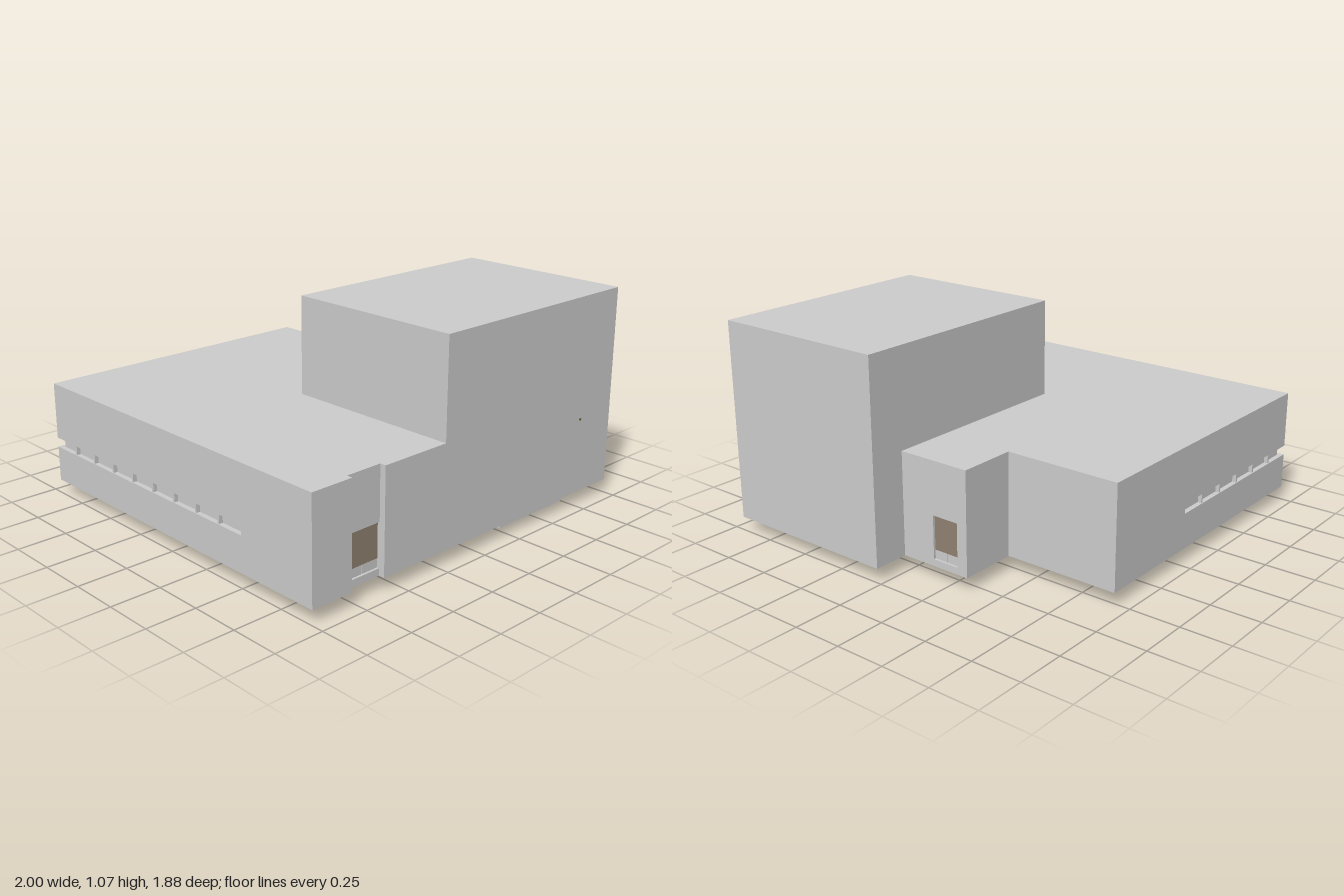
import * as THREE from 'three';

const grey = new THREE.MeshStandardMaterial({ color: 0xcccccc });
const doorBrown = new THREE.MeshStandardMaterial({ color: 0x8f8170 });
const knobOlive = new THREE.MeshStandardMaterial({ color: 0x6b6030 });

const Z = 0.94;          // half depth of the building
const BASE = 0.07;       // underside of the floor
const ROOF = 0.58;       // lower roof
const DOOR = 0.015;      // depth of the doorways
const SLOT = 0.025;      // depth of the ribbon window

// Solid of constant plan between two heights; plan points are [x, z]
function slab(name, plan, y0, y1) {
  const shape = new THREE.Shape(plan.map(([x, z]) => new THREE.Vector2(x, -z)));
  const geo = new THREE.ExtrudeGeometry(shape, { depth: y1 - y0, bevelEnabled: false });
  geo.rotateX(-Math.PI / 2).translate(0, y0, 0);
  const mesh = new THREE.Mesh(geo, grey);
  mesh.name = name;
  return mesh;
}

// Box given by its limits on each axis
function block(name, [x0, x1], [y0, y1], [z0, z1], material = grey) {
  const mesh = new THREE.Mesh(new THREE.BoxGeometry(x1 - x0, y1 - y0, z1 - z0), material);
  mesh.position.set((x0 + x1) / 2, (y0 + y1) / 2, (z0 + z1) / 2);
  mesh.name = name;
  return mesh;
}

// Building outline, optionally cut by the doorways and the corner ribbon window
function outline(doors, ribbon) {
  const front = 0.91 - (doors ? DOOR : 0);
  const plan = [[1, Z], [1, 0.02], [0.82, 0.02]];
  if (doors) plan.push([0.82, -0.16], [0.82 - DOOR, -0.16], [0.82 - DOOR, -0.3], [0.82, -0.3]);
  plan.push([0.82, -0.355], [0.53, -0.355], [0.53, -Z]);
  if (ribbon) {
    plan.push([-0.03, -Z], [-0.03, -Z + SLOT], [-1 + SLOT, -Z + SLOT], [-1 + SLOT, 0.5], [-1, 0.5]);
  } else {
    plan.push([-1, -Z]);
  }
  plan.push([-1, Z], [-0.78, Z], [-0.78, front], [-0.59, front], [-0.59, Z]);
  return plan;
}

export function createModel() {
  const model = new THREE.Group();
  model.name = 'building';

  // Lower storey, layered so that openings are cut at the right heights
  const layers = [
    [BASE, 0.105, false, false],
    [0.105, 0.248, true, false],
    [0.248, 0.296, true, true],
    [0.296, 0.318, true, false],
    [0.318, ROOF, false, false],
  ];
  for (const [y0, y1, doors, ribbon] of layers) {
    model.add(slab('lowerStorey', outline(doors, ribbon), y0, y1));
  }

  // Upper storey
  model.add(block('upperStorey', [-0.22, 1], [ROOF, 1.065], [0.02, Z]));

  // Mullions of the ribbon window, along the side and the back
  const ribbon = new THREE.Group();
  ribbon.name = 'ribbonWindow';
  const h = [0.248, 0.296], t = 0.005;
  for (let i = 1; i < 9; i++) {
    const z = -Z + i * 0.16;
    ribbon.add(block('sideMullion', [-0.995, -1 + SLOT], h, [z - t, z + t]));
  }
  for (let i = 1; i < 6; i++) {
    const x = -1 + i * 0.162;
    ribbon.add(block('backMullion', [x - t, x + t], h, [-Z + 0.005, -Z + SLOT]));
  }
  model.add(ribbon);

  // Doors: brown upper panel and two plain lower leaves
  const zf = 0.91 - DOOR, xs = 0.82 - DOOR;
  model.add(block('frontDoorPanel', [-0.78, -0.59], [0.148, 0.318], [zf - 0.005, zf + 0.004], doorBrown));
  model.add(block('sideDoorPanel', [xs - 0.005, xs + 0.004], [0.148, 0.318], [-0.3, -0.16], doorBrown));
  for (const s of [-1, 1]) {
    const x = -0.685 + s * 0.048, z = -0.23 + s * 0.0355;
    model.add(block('frontDoorLeaf', [x - 0.046, x + 0.046], [0.105, 0.148], [zf - 0.005, zf + 0.004]));
    model.add(block('sideDoorLeaf', [xs - 0.005, xs + 0.004], [0.105, 0.148], [z - 0.034, z + 0.034]));
  }

  // Small knob on the front wall
  model.add(block('knob', [0.75, 0.76], [0.445, 0.455], [Z - 0.005, Z + 0.005], knobOlive));

  // Foundation blocks under the floor
  const feet = [
    [[0.275, 0.64], [0.75, 0.64], [0.75, 0.86], [0.275, 0.86]],
    [[0.27, 0.12], [0.42, 0.12], [0.42, 0.5], [0.27, 0.5]],
    [[0.6, 0.26], [0.67, 0.26], [0.67, 0.42], [0.83, 0.42], [0.83, 0.51], [0.6, 0.51]],
    [[-0.085, 0.15], [0, 0.15], [0, 0.26], [0.09, 0.26], [0.09, 0.43], [-0.085, 0.43]],
  ];
  for (const plan of feet) model.add(slab('foundationBlock', plan, 0, BASE));

  return model;
}
